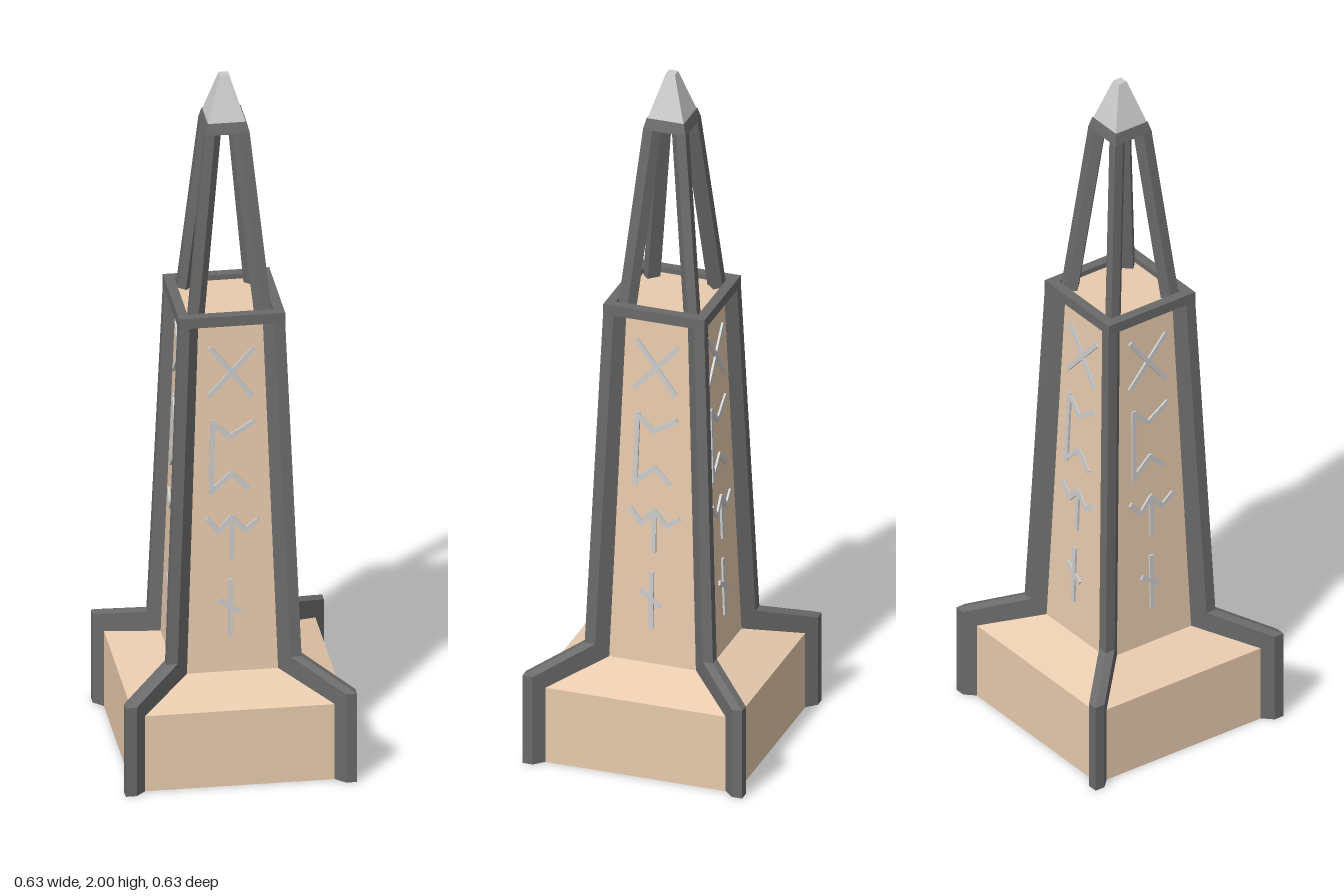
import * as THREE from 'three';

const stone = new THREE.MeshStandardMaterial({ color: 0xe8cbae, flatShading: true });
const frame = new THREE.MeshStandardMaterial({ color: 0x6a6a6a, flatShading: true });
const metal = new THREE.MeshStandardMaterial({ color: 0xcccccc, flatShading: true });

// Skin a stack of horizontal sections { y, pts: [[x, z], ...] }, bottom to top, with closed ends
function loft(sections) {
  const pos = [];
  const n = sections[0].pts.length;
  const put = (s, i) => pos.push(s.pts[i % n][0], s.y, s.pts[i % n][1]);
  for (let k = 0; k + 1 < sections.length; k++) {
    const a = sections[k], b = sections[k + 1];
    for (let i = 0; i < n; i++) {
      put(a, i); put(a, i + 1); put(b, i + 1);
      put(a, i); put(b, i + 1); put(b, i);
    }
  }
  const bottom = sections[0], top = sections[sections.length - 1];
  for (let i = 1; i + 1 < n; i++) {
    put(bottom, 0); put(bottom, i + 1); put(bottom, i);
    put(top, 0); put(top, i); put(top, i + 1);
  }
  const geo = new THREE.BufferGeometry();
  geo.setAttribute('position', new THREE.Float32BufferAttribute(pos, 3));
  geo.computeVertexNormals();
  return geo;
}

// Square section of half-width h
const square = (y, h) => ({ y, pts: [[h, h], [h, -h], [-h, -h], [-h, h]] });

// Corner section: right-angled outer edge at (c, c), flank width w, reaching d inward on the diagonal
const corner = (y, c, w, d) => ({
  y, pts: [[c, c], [c, c - w], [c - d, c - w - d], [c - w - d, c - d], [c - w, c]],
});

function add(parent, name, geo, mat) {
  const mesh = new THREE.Mesh(geo, mat);
  mesh.name = name;
  parent.add(mesh);
  return mesh;
}

// Carved signs as polylines on a face: [x, y] points
const SIGNS = [
  [[-0.056, 1.237], [0.056, 1.09]],
  [[0.061, 1.228], [-0.061, 1.095]],
  [[-0.056, 0.81], [-0.051, 1.02]],
  [[-0.051, 1.015], [-0.005, 0.972], [0.061, 1.013]],
  [[-0.056, 0.815], [0, 0.864], [0.043, 0.82]],
  [[0, 0.735], [0, 0.615]],
  [[-0.068, 0.733], [-0.036, 0.695], [0, 0.737], [0.036, 0.695], [0.071, 0.722]],
  [[-0.005, 0.55], [-0.005, 0.387]],
  [[-0.035, 0.492], [0.02, 0.455]],
];

export function createModel() {
  const model = new THREE.Group();
  model.name = 'obelisk';

  // Plinth with sloped shoulder, and tapering shaft
  add(model, 'plinth', loft([square(0, 0.29), square(0.225, 0.29), square(0.28, 0.155)]), stone);
  const y0 = 0.28, y1 = 1.325, h0 = 0.155, h1 = 0.118;
  add(model, 'shaft', loft([square(y0, h0), square(y1, h1)]), stone);

  // Square rim around the top of the shaft
  const rim = new THREE.Shape([[-1, -1], [1, -1], [1, 1], [-1, 1]]
    .map(([x, y]) => new THREE.Vector2(x * 0.146, y * 0.146)));
  rim.holes.push(new THREE.Path([[-1, -1], [-1, 1], [1, 1], [1, -1]]
    .map(([x, y]) => new THREE.Vector2(x * 0.118, y * 0.118))));
  const rimGeo = new THREE.ExtrudeGeometry(rim, { depth: 0.03, bevelEnabled: false });
  rimGeo.rotateX(-Math.PI / 2).translate(0, 1.31, 0);
  add(model, 'shaftRim', rimGeo, frame);

  // Corner ribs and upper struts
  const ribGeo = loft([
    corner(0, 0.317, 0.03, 0.027),
    corner(0.265, 0.317, 0.03, 0.17),
    corner(0.325, 0.185, 0.03, 0.06),
    corner(1.31, 0.146, 0.03, 0.035),
  ]);
  const strutGeo = loft([
    corner(1.3, 0.117, 0.027, 0.02),
    corner(1.85, 0.061, 0.027, 0.02),
  ]);

  // Signs lie on the slanted shaft face
  const slope = (h0 - h1) / (y1 - y0);
  const faceAt = (y) => h0 - (y - y0) * slope;
  function signs() {
    const group = new THREE.Group();
    group.name = 'faceSigns';
    for (const line of SIGNS) {
      for (let i = 0; i + 1 < line.length; i++) {
        const [a, b] = [line[i], line[i + 1]];
        const dx = b[0] - a[0], dy = b[1] - a[1];
        const geo = new THREE.BoxGeometry(Math.hypot(dx, dy) + 0.006, 0.013, 0.012);
        geo.rotateZ(Math.atan2(dy, dx)).rotateX(-Math.atan(slope));
        const y = (a[1] + b[1]) / 2;
        add(group, 'signStroke', geo, metal).position.set((a[0] + b[0]) / 2, y, faceAt(y));
      }
    }
    return group;
  }

  for (let k = 0; k < 4; k++) {
    const side = new THREE.Group();
    side.name = 'side';
    side.rotation.y = k * Math.PI / 2;
    add(side, 'cornerRib', ribGeo, frame);
    add(side, 'upperStrut', strutGeo, frame);
    side.add(signs());
    model.add(side);
  }

  // Collar joining the struts, and pointed cap
  add(model, 'collar', loft([square(1.845, 0.062), square(1.876, 0.054)]), frame);
  add(model, 'cap', loft([square(1.872, 0.053), square(2, 0.013)]), metal);

  return model;
}
